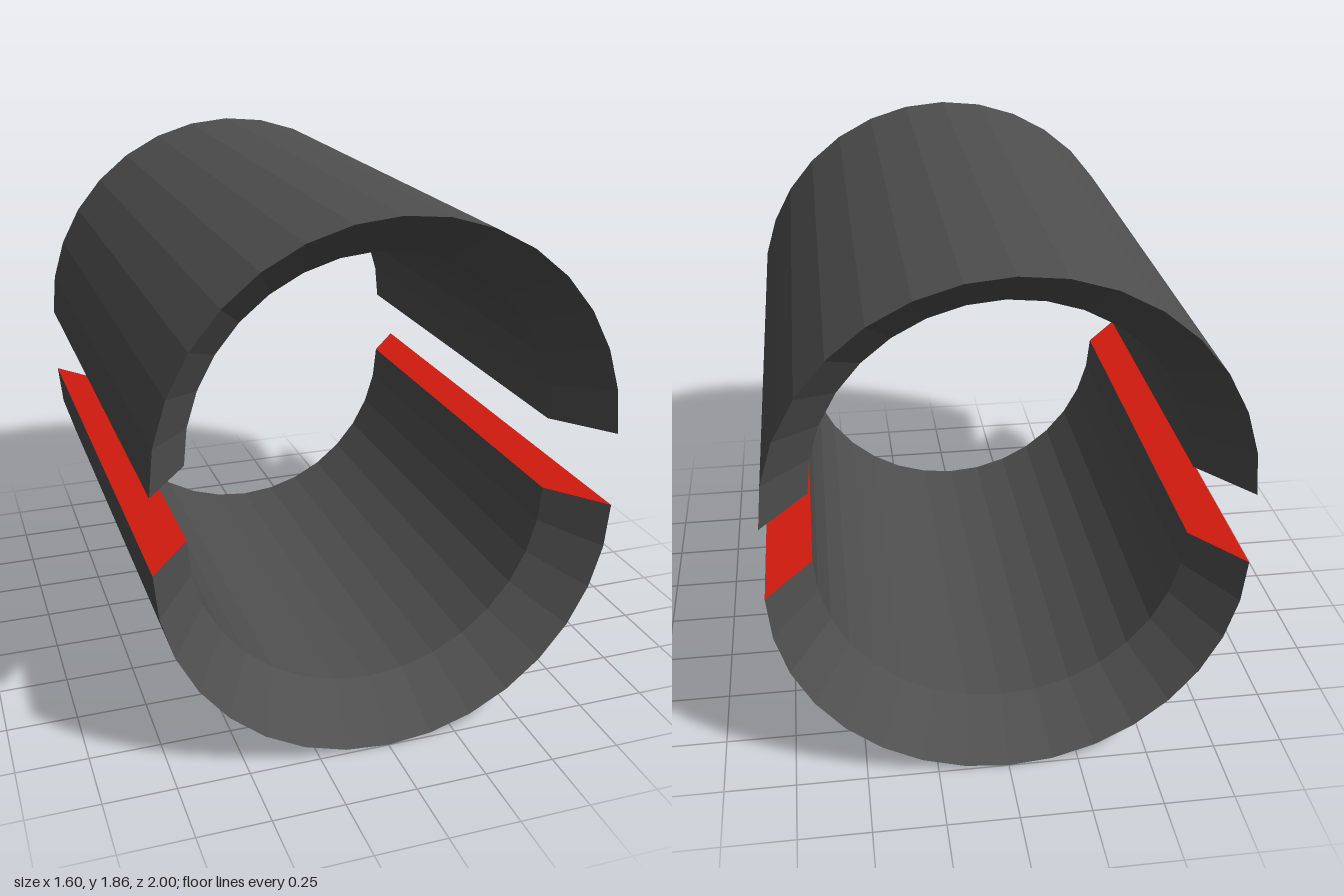
import * as THREE from 'three';

const R_OUT = 0.8, R_IN = 0.645;   // shell radii
const HALF = 1, CHAMFER = 0.2;     // half length and depth of the conical ends
const SEGMENTS = 16;

// Shell wall section as (radius, axial) pairs, knife edged at both ends
const section = [
  [R_OUT, -HALF], [R_OUT, HALF], [R_IN, HALF - CHAMFER], [R_IN, CHAMFER - HALF],
].map(([r, a]) => new THREE.Vector2(r, a));

const shellMaterial = new THREE.MeshStandardMaterial({ color: 0x4f4f4f, flatShading: true });
const faceMaterial = new THREE.MeshStandardMaterial({ color: 0xd01a0e });

// Arched half shell lying along z, open side down
function createHalf(name) {
  const half = new THREE.Group();
  half.name = name;

  const shell = new THREE.Mesh(
    new THREE.LatheGeometry([...section, section[0].clone()], SEGMENTS, -Math.PI / 2, Math.PI)
      .rotateX(-Math.PI / 2),
    shellMaterial);
  shell.name = 'halfShell';
  half.add(shell);

  // Coloured faces along the split, one on each side
  for (const [side, turn] of [['left', 0], ['right', Math.PI]]) {
    const face = new THREE.Mesh(
      new THREE.ShapeGeometry(new THREE.Shape(section)).rotateX(Math.PI / 2).rotateY(turn),
      faceMaterial);
    face.name = side + 'SplitFace';
    half.add(face);
  }
  return half;
}

export function createModel() {
  const model = new THREE.Group();
  model.name = 'splitSleeve';

  const upper = createHalf('upperHalf');
  upper.position.y = 1.064;

  const lower = createHalf('lowerHalf');
  lower.rotation.z = Math.PI;
  lower.position.y = R_OUT;

  model.add(upper, lower);
  return model;
}
